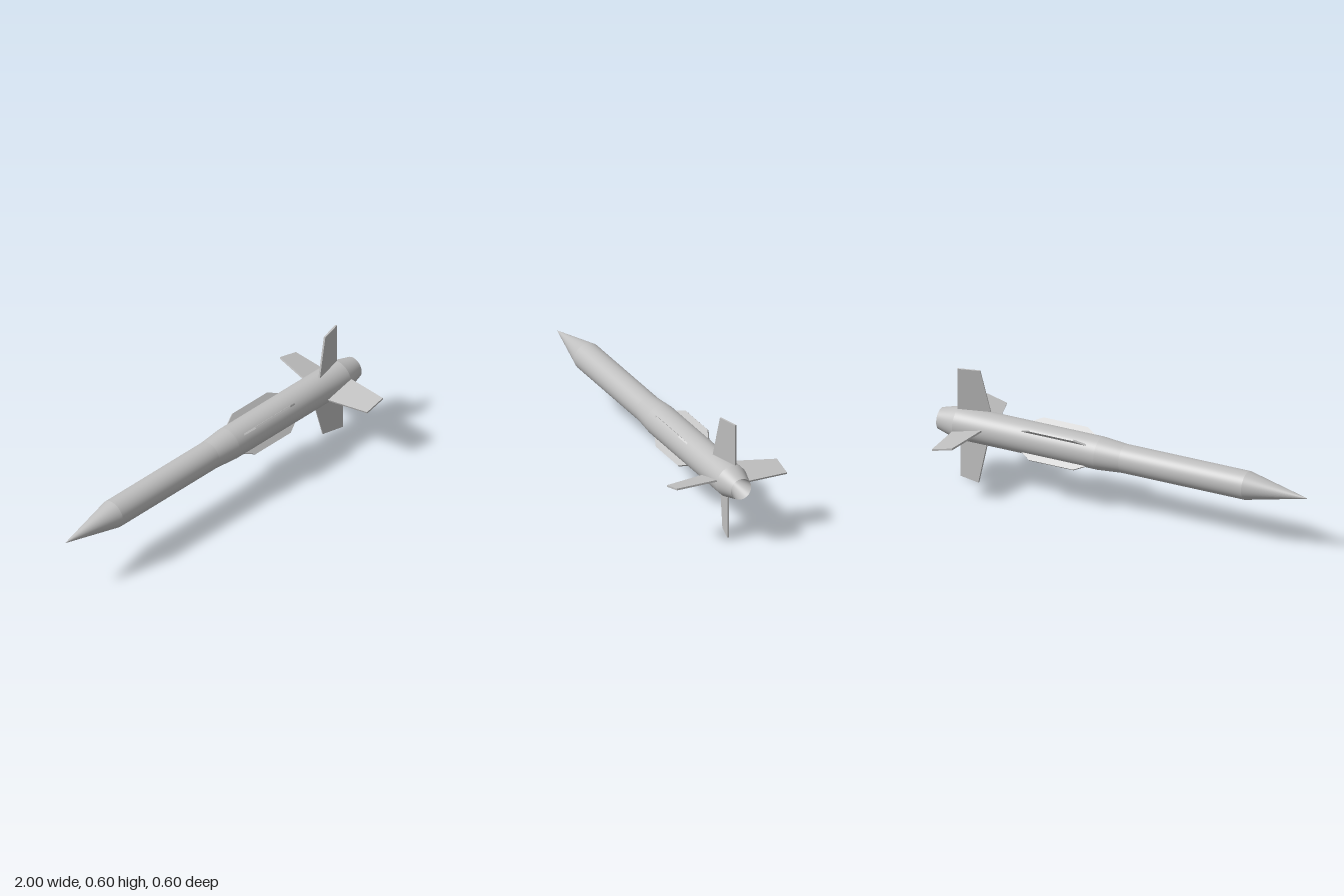
import * as THREE from 'three';

const AXIS_Y = 0.3;

// Thin plate in the x-y plane, centred through its thickness
function plate(points, thickness) {
  const shape = new THREE.Shape(points.map(([x, y]) => new THREE.Vector2(x, y)));
  const geometry = new THREE.ExtrudeGeometry(shape, { depth: thickness, bevelEnabled: false });
  return geometry.translate(0, 0, -thickness / 2);
}

export function createModel() {
  const model = new THREE.Group();
  model.name = 'missile';
  const grey = new THREE.MeshStandardMaterial({ color: 0xc0c0c0 });
  grey.name = 'light grey';

  // Body: one smooth ring per section so the joints stay crisp
  const sections = [
    ['noseCone', -1, 0, -0.67, 0.072],
    ['forwardBody', -0.67, 0.072, 0, 0.072],
    ['shoulder', 0, 0.072, 0.13, 0.083],
    ['rearBody', 0.13, 0.083, 0.9, 0.083],
    ['boatTail', 0.9, 0.083, 1, 0.055],
    ['nozzleRecess', 1, 0.055, 0.75, 0], // runs forward, so it faces inward
  ];
  for (const [name, x0, r0, x1, r1] of sections) {
    const profile = [new THREE.Vector2(r0, x0), new THREE.Vector2(r1, x1)];
    const mesh = new THREE.Mesh(new THREE.LatheGeometry(profile, 64), grey);
    mesh.name = name;
    mesh.rotation.z = -Math.PI / 2;
    mesh.position.y = AXIS_Y;
    model.add(mesh);
  }

  // Four canted tail fins and four straight strakes between them
  const finGeometry = plate([[-0.083, 0.083], [0.083, 0.083], [0.083, 0.3], [-0.03, 0.3]], 0.009);
  finGeometry.rotateY(0.25).translate(0.82, 0, 0);
  const strakeGeometry = plate([[0.178, 0.08], [0.537, 0.08], [0.48, 0.114], [0.24, 0.114]], 0.009);
  for (let i = 0; i < 4; i++) {
    const fin = new THREE.Mesh(finGeometry, grey);
    fin.name = `tailFin${i + 1}`;
    fin.position.y = AXIS_Y;
    fin.rotation.x = i * Math.PI / 2;

    const strake = new THREE.Mesh(strakeGeometry, grey);
    strake.name = `strake${i + 1}`;
    strake.position.y = AXIS_Y;
    strake.rotation.x = (i + 0.5) * Math.PI / 2;
    model.add(fin, strake);
  }
  return model;
}
